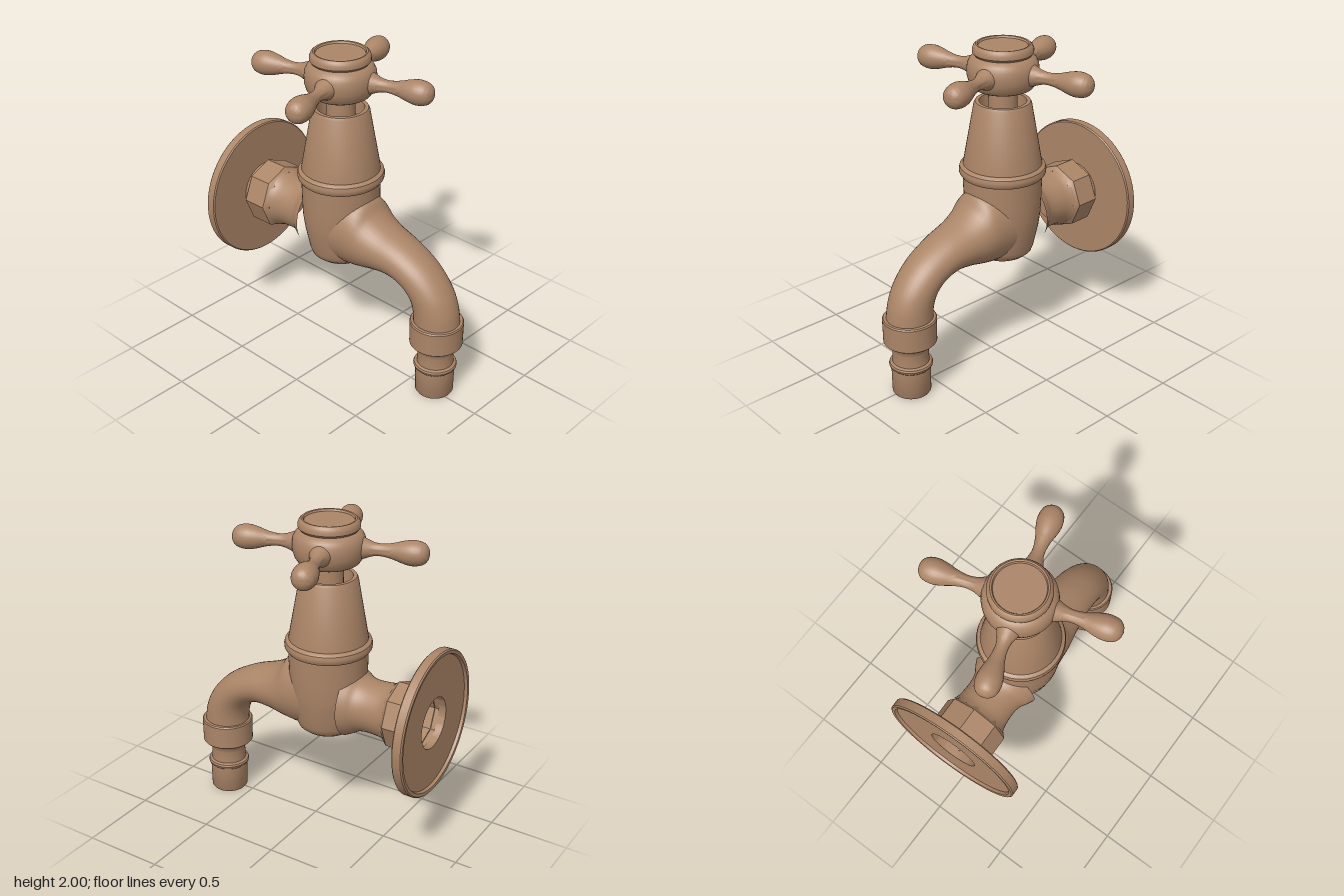
import * as THREE from 'three';
import { toCreasedNormals } from 'three/addons/utils/BufferGeometryUtils.js';

const bronze = new THREE.MeshStandardMaterial({ color: 0xab8567 });
bronze.name = 'bronze';

function mesh(name, geometry, crease = 0.6) {
  const m = new THREE.Mesh(toCreasedNormals(geometry, crease), bronze);
  m.name = name;
  return m;
}

// Revolve [radius, height] points about the y axis
function turned(points, sides = 48) {
  return new THREE.LatheGeometry(points.map(([r, h]) => new THREE.Vector2(r, h)), sides);
}

// Revolve [radius, z] points about the z axis
function turnedZ(points, sides) {
  return turned(points, sides).rotateX(Math.PI / 2);
}

// Smooth a few profile points with a spline
function smooth(points, n = 24) {
  return new THREE.SplineCurve(points.map((p) => new THREE.Vector2(...p)))
    .getPoints(n).map((p) => [Math.max(p.x, 0), p.y]);
}

// Loft ellipses between an upper and a lower edge line: [upperZ, upperY, lowerZ, lowerY, halfWidth]
function spoutGeometry(sections, rings = 40, sides = 36) {
  const upper = new THREE.CatmullRomCurve3(sections.map(([z, y]) => new THREE.Vector3(0, y, z)));
  const lower = new THREE.CatmullRomCurve3(sections.map(([, , z, y]) => new THREE.Vector3(0, y, z)));
  const width = new THREE.CatmullRomCurve3(sections.map((s, i) => new THREE.Vector3(s[4], i, 0)));
  const pos = [], index = [];
  for (let i = 0; i <= rings; i++) {
    const t = i / rings;
    const u = upper.getPoint(t), l = lower.getPoint(t), w = width.getPoint(t).x;
    const mid = u.clone().add(l).multiplyScalar(0.5);
    const half = u.clone().sub(l).multiplyScalar(0.5);
    for (let j = 0; j < sides; j++) {
      const a = (j / sides) * Math.PI * 2;
      pos.push(w * Math.cos(a), mid.y + half.y * Math.sin(a), mid.z + half.z * Math.sin(a));
      if (i < rings) {
        const p = i * sides + j, q = i * sides + ((j + 1) % sides);
        index.push(p, q, p + sides, q, q + sides, p + sides);
      }
    }
  }
  const g = new THREE.BufferGeometry();
  g.setAttribute('position', new THREE.Float32BufferAttribute(pos, 3));
  g.setIndex(index);
  return g;
}

export function createModel() {
  const model = new THREE.Group();
  model.name = 'tap';
  // Everything is laid out about the valve axis, which sits slightly back and turned
  const tap = new THREE.Group();
  tap.name = 'tapAssembly';
  tap.position.z = -0.09;
  tap.rotation.y = 0.03;
  model.add(tap);

  // Valve body with rounded base
  tap.add(mesh('valveBody', turned([
    [0, 0.655], [0.11, 0.657], [0.15, 0.67], [0.18, 0.695], [0.193, 0.73], [0.205, 0.79],
    [0.222, 0.87], [0.232, 0.95], [0.236, 1.05], [0.238, 1.21],
  ])));

  // Bonnet cone with bead and recessed top
  tap.add(mesh('bonnetBead', turned([
    [0.22, 1.195], [0.25, 1.195], [0.26, 1.21], [0.262, 1.23], [0.257, 1.25], [0.24, 1.265], [0.22, 1.268],
  ])));
  tap.add(mesh('bonnet', turned([
    [0.238, 1.24], [0.236, 1.27], [0.171, 1.64], [0.163, 1.655], [0.14, 1.655], [0.135, 1.56], [0.05, 1.56],
  ])));
  tap.add(mesh('stem', turned([[0.085, 1.5], [0.085, 1.78]])));

  // Handle hub, cap and four arms
  const handle = new THREE.Group();
  handle.name = 'handle';
  handle.rotation.y = 0.27;
  tap.add(handle);
  handle.add(mesh('handleHub', turned([
    [0, 1.737], [0.165, 1.737], [0.178, 1.745], [0.198, 1.775], [0.209, 1.81], [0.211, 1.85],
    [0.207, 1.885], [0.195, 1.91], [0.178, 1.925], [0.16, 1.935], [0, 1.935],
  ])));
  handle.add(mesh('handleCap', turned([
    [0.15, 1.93], [0.168, 1.937], [0.178, 1.95], [0.178, 1.972], [0.17, 1.99], [0.158, 2],
    [0.148, 1.998], [0.143, 1.987], [0, 1.987],
  ])));
  const armProfile = smooth([
    [0.075, 0.17], [0.058, 0.21], [0.04, 0.26], [0.036, 0.31], [0.046, 0.37],
    [0.064, 0.43], [0.073, 0.485], [0.063, 0.54], [0.035, 0.569], [0, 0.578],
  ], 36);
  for (let i = 0; i < 4; i++) {
    const arm = mesh('handleArm', turned(armProfile, 28).rotateZ(-Math.PI / 2), 1);
    arm.position.y = 1.838;
    arm.rotation.y = (i * Math.PI) / 2;
    handle.add(arm);
  }

  // Curved spout
  const spout = mesh('spout', spoutGeometry([
    [-0.06, 1.17, -0.06, 0.665, 0.215], [0.14, 1.12, 0.08, 0.668, 0.2], [0.2, 1.05, 0.17, 0.685, 0.187],
    [0.28, 1.0, 0.25, 0.703, 0.17], [0.45, 0.937, 0.36, 0.713, 0.152], [0.62, 0.84, 0.44, 0.69, 0.143],
    [0.74, 0.71, 0.495, 0.64, 0.138], [0.79, 0.6, 0.52, 0.57, 0.136], [0.81, 0.48, 0.525, 0.48, 0.136],
  ]), 1);
  spout.position.z = 0.09;
  tap.add(spout);

  // Outlet collar and hose nozzle
  const outlet = new THREE.Group();
  outlet.name = 'outlet';
  outlet.position.z = 0.757;
  tap.add(outlet);
  outlet.add(mesh('outletCollar', turned([
    [0, 0.348], [0.152, 0.348], [0.159, 0.355], [0.161, 0.5], [0.155, 0.508], [0.1, 0.508],
  ])));
  outlet.add(mesh('hoseNozzle', turned([
    [0, 0.1], [0.092, 0.1], [0.096, 0.004], [0.108, 0], [0.116, 0.012], [0.118, 0.175], [0.128, 0.185],
    [0.131, 0.197], [0.126, 0.209], [0.11, 0.216], [0.106, 0.29], [0.112, 0.318], [0.126, 0.335], [0.126, 0.355],
  ])));

  // Wall inlet: pipe, faceted nut, neck, socket and flange
  const inlet = new THREE.Group();
  inlet.name = 'inlet';
  inlet.position.y = 0.886;
  tap.add(inlet);
  inlet.add(mesh('inletPipe', turnedZ(smooth([
    [0.185, -0.46], [0.168, -0.42], [0.161, -0.36], [0.161, -0.3], [0.171, -0.25], [0.195, -0.21], [0.215, -0.17],
  ]))));
  inlet.add(mesh('inletNut', turnedZ([
    [0.16, -0.632], [0.2, -0.632], [0.207, -0.625], [0.207, -0.475], [0.18, -0.445], [0.1, -0.445],
  ], 8)));
  inlet.add(mesh('inletNeck', turnedZ([[0.172, -0.67], [0.172, -0.62]])));
  inlet.add(mesh('inletSocket', turnedZ([[0, -0.5], [0.168, -0.5], [0.168, -0.7]], 8)));
  inlet.add(mesh('wallFlange', turnedZ([
    [0.157, -0.66], [0.157, -0.706], [0.41, -0.706], [0.416, -0.724], [0.436, -0.726], [0.443, -0.718],
    [0.443, -0.668], [0.436, -0.661], [0.16, -0.661],
  ], 64)));

  return model;
}
